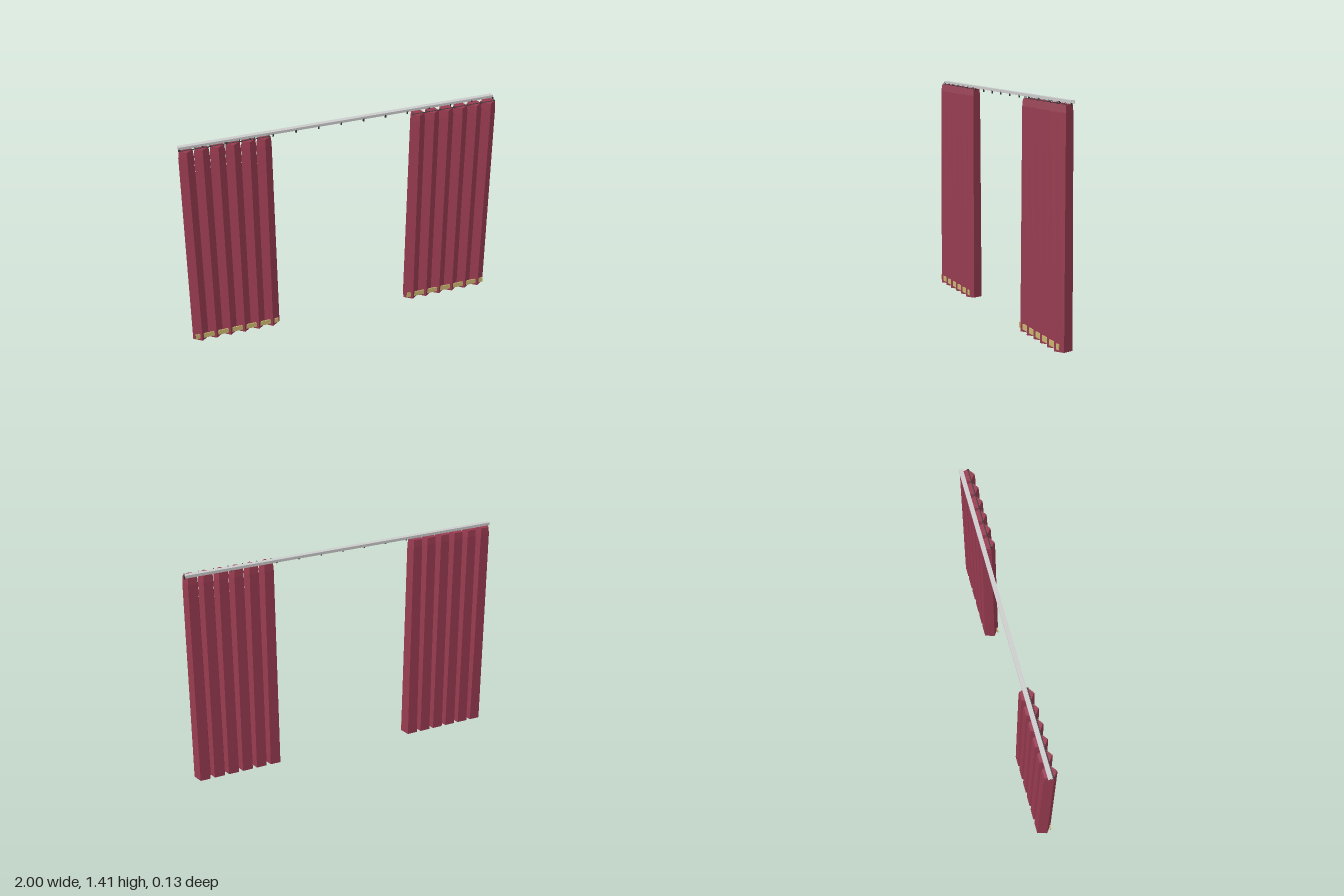
import * as THREE from 'three';

const mat = (color, opts = {}) => new THREE.MeshStandardMaterial({ color, ...opts });

export function createModel() {
  const model = new THREE.Group();
  model.name = 'curtains';
  const cloth = mat(0x983b50, { flatShading: true });
  const gold = mat(0xc9b570);
  const metal = mat(0xcccccc);
  const dark = mat(0x3a3a3a);

  const add = (parent, name, geometry, material, x, y, z) => {
    const mesh = new THREE.Mesh(geometry, material);
    mesh.name = name;
    mesh.position.set(x, y, z);
    parent.add(mesh);
    return mesh;
  };

  // Five-sided tapering fold with a bevelled top, ridge towards the front
  const foldProfile = [[0, 0], [0.0557, 0], [0.0482, 1.345], [0.0435, 1.389], [0, 1.389]]
    .map(([r, y]) => new THREE.Vector2(r, y));
  const foldGeo = new THREE.LatheGeometry(foldProfile, 5);
  const hookGeo = new THREE.TorusGeometry(0.006, 0.0016, 5, 10);
  const pitch = 0.0932;

  function makePanel(name, x, z) {
    const panel = new THREE.Group();
    panel.name = name;
    panel.position.set(x, 0, z);
    for (let i = 0; i < 6; i++) add(panel, 'fold', foldGeo, cloth, (i - 2.5) * pitch, 0, 0);
    // Hem band, pierced by the fold ridges
    add(panel, 'hemBand', new THREE.BoxGeometry(0.546, 0.034, 0.006), gold, 0, 0.032, 0.0445);
    // Header rod with hooks
    const rod = add(panel, 'headerRod', new THREE.CylinderGeometry(0.003, 0.003, 0.545, 6), dark, 0, 1.389, 0.014);
    rod.rotation.z = Math.PI / 2;
    for (let i = 0; i < 7; i++) {
      const hook = add(panel, 'hook', hookGeo, dark, (i - 3) * 0.0885, 1.394, 0.014);
      hook.rotation.y = Math.PI / 2;
    }
    model.add(panel);
  }
  makePanel('rightCurtain', -0.714, -0.017);
  makePanel('leftCurtain', 0.711, 0.0075);

  // Rail: box channel, open slot along the underside
  const rail = new THREE.Group();
  rail.name = 'rail';
  rail.position.z = -0.022;
  model.add(rail);
  const length = 1.972;
  const s = new THREE.Shape([
    [-0.013, 0], [-0.004, 0], [-0.004, 0.003], [-0.01, 0.003], [-0.01, 0.013], [0.01, 0.013],
    [0.01, 0.003], [0.004, 0.003], [0.004, 0], [0.013, 0], [0.013, 0.017], [-0.013, 0.017],
  ].map(([x, y]) => new THREE.Vector2(x, y)));
  const railGeo = new THREE.ExtrudeGeometry(s, { depth: length, bevelEnabled: false });
  railGeo.translate(0, 0, -length / 2).rotateY(Math.PI / 2);
  add(rail, 'track', railGeo, metal, -0.003, 1.394, 0);

  // Gliders hanging along the rail
  const gliderGeo = new THREE.BoxGeometry(0.008, 0.018, 0.008);
  for (let i = -7; i <= 7; i++) add(rail, 'glider', gliderGeo, dark, i * 0.1405, 1.389, 0.01);

  return model;
}
